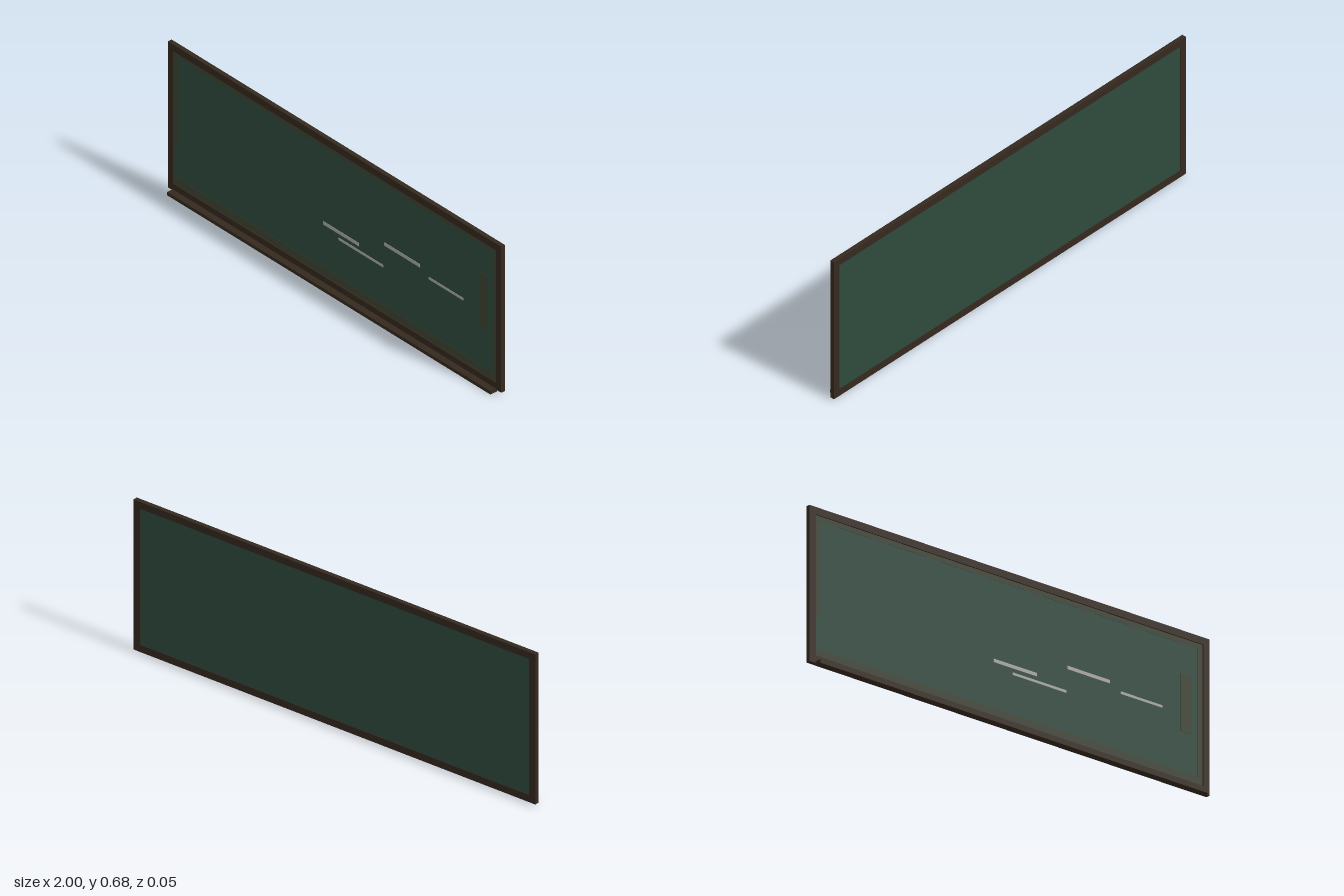
import * as THREE from 'three';

export function createModel() {
  const model = new THREE.Group();
  const material = (name, color) => {
    const m = new THREE.MeshStandardMaterial({ color });
    m.name = name;
    return m;
  };
  const wood = material('dark wood', 0x35291f);
  const slate = material('green slate', 0x2f4b3d);
  const stain = material('brown stain', 0x3d4331);
  const chalk = material('chalk', 0xaaa9a4);

  // Box given by its x, y and z limits
  const box = (name, mat, x0, x1, y0, y1, z0, z1) => {
    const mesh = new THREE.Mesh(new THREE.BoxGeometry(x1 - x0, y1 - y0, z1 - z0), mat);
    mesh.position.set((x0 + x1) / 2, (y0 + y1) / 2, (z0 + z1) / 2);
    mesh.name = name;
    model.add(mesh);
  };

  // Frame: one extruded rectangle with a rectangular opening
  const rect = (Type, x, y0, y1) => new Type([[-x, y0], [x, y0], [x, y1], [-x, y1]]
    .map(([px, py]) => new THREE.Vector2(px, py)));
  const outline = rect(THREE.Shape, 1, 0.01, 0.683);
  outline.holes.push(rect(THREE.Path, 0.968, 0.042, 0.652));
  const frame = new THREE.Mesh(
    new THREE.ExtrudeGeometry(outline, { depth: 0.02, bevelEnabled: false }), wood);
  frame.position.z = -0.025;
  frame.name = 'frame';
  model.add(frame);

  // Writing surface, slightly recessed on both sides
  box('board', slate, -0.97, 0.97, 0.04, 0.655, -0.022, -0.011);

  // Chalk tray under the front edge
  box('chalkTray', wood, -0.97, 0.97, 0, 0.015, -0.009, 0.025);

  // Worn edges and a smudge: [x0, x1, y0, y1]
  [
    [-0.968, 0.968, 0.63, 0.652],
    [-0.968, 0.968, 0.042, 0.076],
    [-0.968, -0.945, 0.21, 0.63],
    [0.945, 0.968, 0.076, 0.63],
    [0.86, 0.915, 0.25, 0.5],
  ].forEach(([x0, x1, y0, y1]) => box('stain', stain, x0, x1, y0, y1, -0.011, -0.0102));

  // Chalk strokes: [x0, x1, y, thickness]
  [
    [-0.075, 0.14, 0.283, 0.015],
    [0.02, 0.288, 0.253, 0.011],
    [0.293, 0.505, 0.359, 0.015],
    [0.56, 0.768, 0.328, 0.011],
  ].forEach(([x0, x1, y, t]) =>
    box('chalkStroke', chalk, x0, x1, y - t / 2, y + t / 2, -0.011, -0.0095));

  return model;
}
